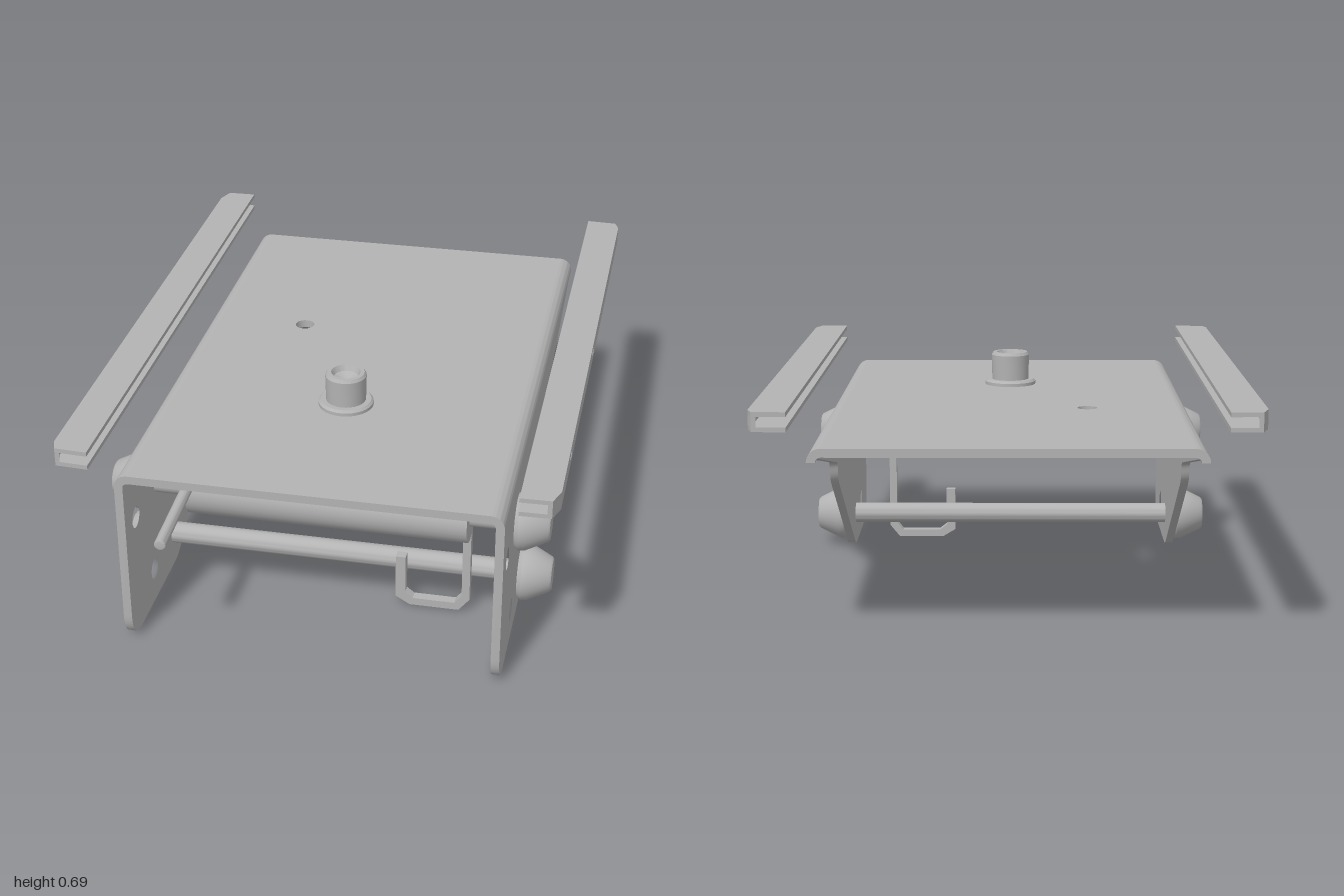
import * as THREE from 'three';
import { toCreasedNormals } from 'three/addons/utils/BufferGeometryUtils.js';

const steel = new THREE.MeshStandardMaterial({ color: 0xb3b3b3 });
steel.name = 'grey steel';

const W = 0.555, L = 0.845, T = 0.025, TOP = 0.57, BEND = 0.04;

function add(parent, name, geo) {
  const mesh = new THREE.Mesh(toCreasedNormals(geo, 0.55), steel);
  mesh.name = name;
  parent.add(mesh);
  return mesh;
}
const poly = (pts) => new THREE.Shape(pts.map(([a, b]) => new THREE.Vector2(a, b)));
const circle = (a, b, r) => new THREE.Path().absarc(a, b, r, 0, Math.PI * 2, true);
const extrude = (shape, depth) =>
  new THREE.ExtrudeGeometry(shape, { depth, bevelEnabled: false, curveSegments: 10 });

// Horizontal plate: shape in (x, z), from y up by h
const flat = (shape, y, h) => extrude(shape, h).rotateX(Math.PI / 2).translate(0, y + h, 0);
// Upright plate: shape in (z, y), from x outwards by t
const upright = (shape, x, t) => extrude(shape, t).rotateY(-Math.PI / 2).translate(x + t, 0, 0);
const lathe = (pts) => new THREE.LatheGeometry(pts.map(([r, y]) => new THREE.Vector2(r, y)), 32);
// Round bar across the width
const crossBar = (r, half, y, z) =>
  new THREE.CylinderGeometry(r, r, half * 2, 28).rotateZ(Math.PI / 2).translate(0, y, z);

function sidePlateShape() {
  const s = new THREE.Shape();
  const y = TOP - BEND;
  s.moveTo(L, y);
  s.lineTo(L, 0.09);
  s.quadraticCurveTo(L, 0, L - 0.09, 0);
  s.lineTo(0.42, 0);
  s.quadraticCurveTo(0.38, 0, 0.34, 0.025);
  s.lineTo(-0.165, 0.325);
  s.bezierCurveTo(-0.225, 0.36, -0.19, 0.4, -0.235, 0.41);
  s.lineTo(-0.785, y);
  s.closePath();
  s.holes.push(circle(0.75, 0.375, 0.033), circle(0.614, 0.105, 0.033));
  return s;
}

function buildRail(side) {
  const rail = new THREE.Group();
  rail.name = side > 0 ? 'leftRail' : 'rightRail';
  const y0 = 0.63, h = 0.055, t = 0.013, xi = 0.598, xo = 0.705;
  // The long chamfer is at the front of one rail and the back of the other
  const P = ([x, z]) => [side * x, side * z];
  const flange = poly([[xi, -0.925], [0.692, -0.92], [xo, -0.885],
    [xo, 0.867], [0.687, 0.92], [xi, 0.922]].map(P));
  add(rail, 'railBottomFlange', flat(flange, y0, t));
  add(rail, 'railTopFlange', flat(flange, y0 + h - t, t));
  // Outer web with two small slots
  const za = side > 0 ? -0.885 : -0.867, zb = side > 0 ? 0.867 : 0.885;
  const web = poly([[za, y0 + t], [zb, y0 + t], [zb, y0 + h - t], [za, y0 + h - t]]);
  for (const z of [0, 0.625]) {
    const a = 0.017, yc = y0 + h / 2, b = 0.01;
    web.holes.push(poly([[z - a, yc - b], [z - a, yc + b], [z + a, yc + b], [z + a, yc - b]]));
  }
  add(rail, 'railWeb', upright(web, side > 0 ? xo - t : -xo, t));
  // Chamfered web ends
  const ends = [
    [[xo, 0.867], [0.687, 0.92], [0.674, 0.92], [xo - t, 0.867]],
    [[xo, -0.885], [0.692, -0.92], [0.679, -0.92], [xo - t, -0.885]],
  ];
  for (const e of ends) add(rail, 'railWebEnd', flat(poly(e.map(P)), y0 + t, h - 2 * t));
  return rail;
}

export function createModel() {
  const model = new THREE.Group();
  model.name = 'rollerBracket';
  const body = new THREE.Group();
  body.name = 'bracketAssembly';
  body.rotation.y = -0.128;
  model.add(body);

  // Top plate with a small hole
  const w = W - BEND;
  const top = poly([[-w, -L], [w, -L], [w, L], [-w, L]]);
  top.holes.push(circle(-0.239, -0.176, 0.03));
  add(body, 'topPlate', flat(top, TOP - T, T));

  // Rounded bends, side plates and conical bolt heads
  for (const s of [-1, 1]) {
    const bend = new THREE.Shape();
    const [a, b] = s > 0 ? [0, Math.PI / 2] : [Math.PI / 2, Math.PI];
    bend.absarc(0, 0, BEND, a, b, false);
    bend.absarc(0, 0, BEND - T, b, a, true);
    add(body, 'bend', extrude(bend, 2 * L).translate(s * w, TOP - BEND, -L));
    add(body, 'sidePlate', upright(sidePlateShape(), s > 0 ? W - T : -W, T));
    for (const [y, z] of [[0.373, 0.543], [0.105, 0.407]]) {
      const head = lathe([[0, 0], [0.08, 0], [0.088, 0.012], [0.086, 0.03], [0.054, 0.095], [0.048, 0.1], [0, 0.1]]);
      add(body, 'boltHead', head.rotateZ(-s * Math.PI / 2).translate(s * W, y, z));
    }
  }

  // Roller and cross rods
  add(body, 'upperRod', crossBar(0.033, W, 0.373, 0.543));
  add(body, 'lowerRod', crossBar(0.033, W, 0.105, 0.407));
  add(body, 'roller', crossBar(0.083, 0.42, 0.373, 0.543));

  // Pin reaching forward beside the roller
  const pin = new THREE.LineCurve3(new THREE.Vector3(-0.4, 0.413, 0.934), new THREE.Vector3(-0.4, 0.44, 0.56));
  add(body, 'pin', new THREE.TubeGeometry(pin, 1, 0.017, 14));
  const cap = add(body, 'pinTip', new THREE.SphereGeometry(0.017, 14, 8));
  cap.scale.z = 0.15;
  cap.position.set(-0.4, 0.413, 0.934);

  // Strap hook hanging from the roller
  const hook = poly([
    [0.418, 0.34], [0.418, 0.045], [0.385, 0.004], [0.235, 0.004], [0.192, 0.03], [0.192, 0.172],
    [0.222, 0.172], [0.222, 0.046], [0.245, 0.028], [0.373, 0.028], [0.394, 0.055], [0.394, 0.34],
  ]);
  add(body, 'hook', extrude(hook, 0.03).translate(0, 0, 0.475));

  // Pivot post with flange, dished top and a wide disc below the plate
  const post = lathe([[0, TOP - 0.01], [0.083, TOP - 0.01], [0.083, 0.58], [0.076, 0.587], [0.06, 0.587],
    [0.062, 0.668], [0.056, 0.677], [0.044, 0.677], [0.036, 0.66], [0, 0.645]]);
  add(body, 'pivotPost', post.translate(0, 0, 0.308));
  const disc = lathe([[0, 0.515], [0.124, 0.515], [0.133, 0.523], [0.133, 0.546], [0, 0.546]]);
  add(body, 'pivotDisc', disc.translate(0, 0, 0.308));

  // Slotted rails on both sides
  for (const s of [-1, 1]) body.add(buildRail(s));
  return model;
}
